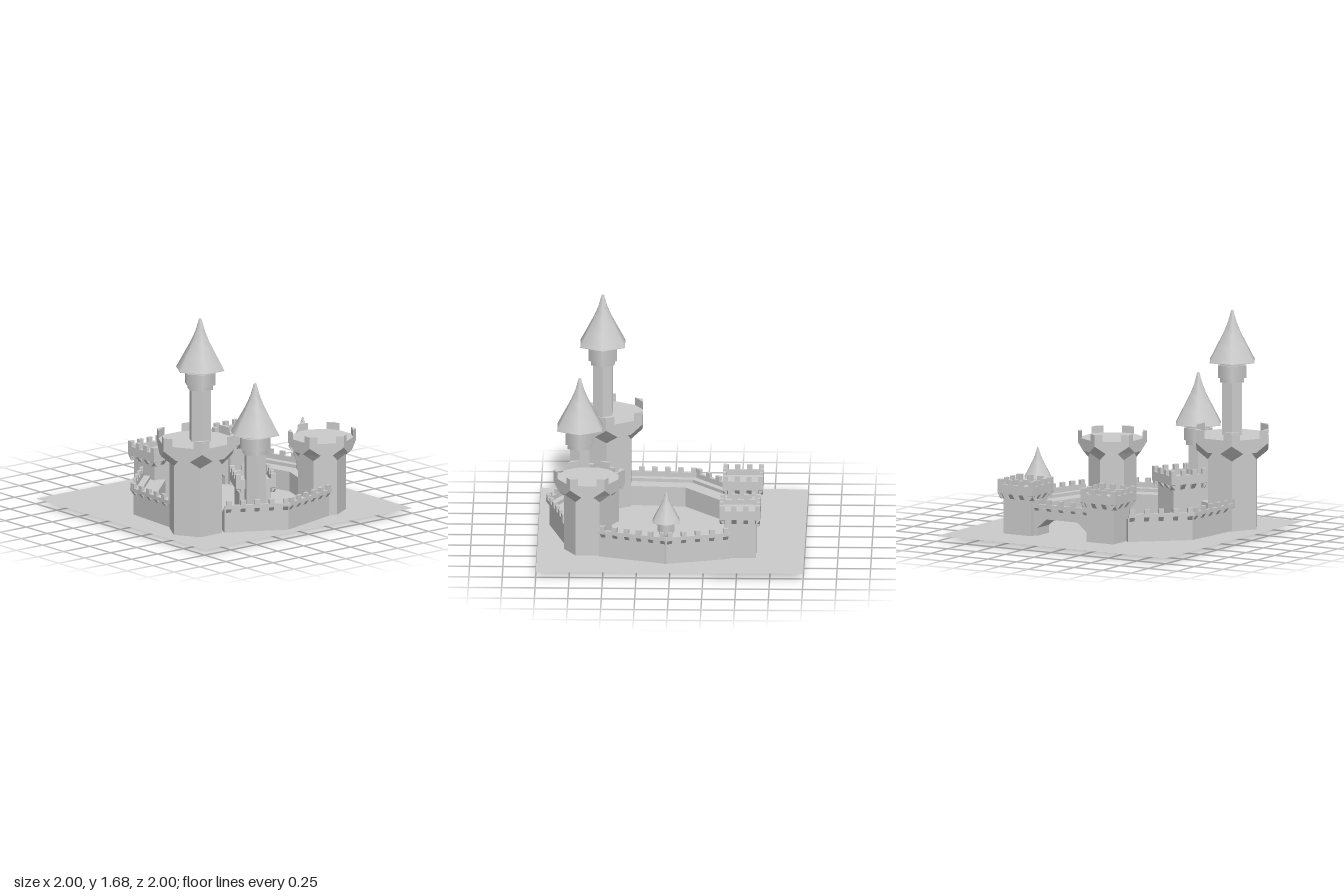
import * as THREE from 'three';
import { ConvexGeometry } from 'three/addons/geometries/ConvexGeometry.js';

const stone = new THREE.MeshStandardMaterial({ color: 0xcccccc, flatShading: true });
const smooth = new THREE.MeshStandardMaterial({ color: 0xcccccc });
const thin = new THREE.MeshStandardMaterial({ color: 0xcccccc, side: THREE.DoubleSide });
const ALONG_X = Math.PI / 6; // hexagon with corners on the x axis
const GROUND = 0.04;         // foundations reach a little below the ground sheet
const OVERHANG = 0.025;

function add(parent, name, geometry, x = 0, y = 0, z = 0, material = stone) {
  const mesh = new THREE.Mesh(geometry, material);
  mesh.name = name;
  mesh.position.set(x, y, z);
  parent.add(mesh);
  return mesh;
}

function group(parent, name, x = 0, y = 0, z = 0, turn = 0) {
  const g = new THREE.Group();
  g.name = name;
  g.position.set(x, y, z);
  g.rotation.y = turn;
  parent.add(g);
  return g;
}

function hexPrism(parent, name, r, y0, y1, start = ALONG_X, material = stone) {
  add(parent, name, new THREE.CylinderGeometry(r, r, y1 - y0, 6, 1, false, start), 0, (y0 + y1) / 2, 0, material);
}

// Wedge bracket: runs along x, leans out towards z = 0
function corbelGeometry(width, depth, height) {
  const s = new THREE.Shape([[0, 0], [-depth, 0], [-depth, -height]].map(p => new THREE.Vector2(...p)));
  const g = new THREE.ExtrudeGeometry(s, { depth: width, bevelEnabled: false });
  g.rotateY(-Math.PI / 2);           // shape x -> z, extrusion -> -x
  g.translate(width / 2, 0, 0);
  return g;
}

// Row of merlons and corbels from local x = 0 to length, outer face on z = 0
function battlement(parent, length, count, top, bottom, merlonHeight, depth, corbelHeight, inset = 0) {
  const merlon = new THREE.BoxGeometry(0.04, merlonHeight, 0.026);
  const corbel = corbelGeometry(0.036, depth, corbelHeight);
  const first = inset + 0.02, step = (length - 2 * first) / (count - 1);
  for (let i = 0; i < count; i++) {
    const x = first + i * step;
    add(parent, 'merlon', merlon, x, top + merlonHeight / 2, -0.013);
    add(parent, 'corbel', corbel, x, bottom, 0);
  }
}

// Prism swept along a mitred path; profile is [outward, y], counter-clockwise
function sweep(path, profile) {
  const pts = path.map(p => new THREE.Vector2(...p));
  const normals = pts.slice(1).map((p, i) => {
    const t = p.clone().sub(pts[i]).normalize();
    return new THREE.Vector2(-t.y, t.x);
  });
  const rings = pts.map((p, i) => {
    const a = normals[Math.max(i - 1, 0)], b = normals[Math.min(i, normals.length - 1)];
    const m = a.clone().add(b).divideScalar(1 + a.dot(b));
    return profile.map(([d, y]) => [p.x + m.x * d, y, p.y + m.y * d]);
  });
  const pos = [], n = profile.length;
  for (let i = 0; i + 1 < rings.length; i++) {
    for (let j = 0; j < n; j++) {
      const k = (j + 1) % n, a = rings[i], b = rings[i + 1];
      pos.push(...a[j], ...b[j], ...b[k], ...a[j], ...b[k], ...a[k]);
    }
  }
  const caps = THREE.ShapeUtils.triangulateShape(profile.map(p => new THREE.Vector2(...p)), []);
  const last = rings[rings.length - 1];
  for (const [a, b, c] of caps) {
    pos.push(...rings[0][a], ...rings[0][b], ...rings[0][c], ...last[a], ...last[c], ...last[b]);
  }
  const g = new THREE.BufferGeometry();
  g.setAttribute('position', new THREE.Float32BufferAttribute(pos, 3));
  g.computeVertexNormals();
  return g;
}

// Curtain wall with wall walk, overhanging parapet and battlements
function curtainWall(parent, name, path) {
  const g = group(parent, name);
  add(g, 'wallBody', sweep(path, [
    [-OVERHANG, 0.012], [-OVERHANG, 0.225], [0, 0.225], [0, 0.252], [-0.026, 0.252],
    [-0.026, 0.215], [-0.075, 0.215], [-0.075, 0.19], [-0.19, 0.19], [-0.19, 0.012],
  ]));
  for (let i = 0; i + 1 < path.length; i++) battlementRun(g, path[i], path[i + 1], 0);
}

function battlementRun(parent, a, b, lift) {
  const dx = b[0] - a[0], dz = b[1] - a[1], length = Math.hypot(dx, dz);
  const run = group(parent, 'battlement', a[0], lift, a[1], Math.atan2(-dz, dx));
  battlement(run, length, Math.round(length / 0.092), 0.252, 0.225, 0.035, OVERHANG, 0.032, 0.012);
}

// Hexagonal tower with an overhanging crown on corner brackets; s scales the crown heights
function hexTower(parent, name, x, z, r, crownR, top, s, start) {
  const g = group(parent, name, x, 0, z);
  const y = d => top - d * s;
  hexPrism(g, 'towerBody', r, 0, y(0.16), start);
  const corner = (k, radius, h) => new THREE.Vector3(
    radius * Math.sin(start + k * Math.PI / 3), h, radius * Math.cos(start + k * Math.PI / 3));
  const crown = [];
  for (let k = 0; k < 6; k++) {
    // Crown corner cut away below, carried by a bracket on the tower edge
    const low = corner(k, crownR, y(0.165));
    const cut = [1, -1].map(d => low.clone().lerp(corner(k + d, crownR, low.y), 0.32));
    crown.push(corner(k, crownR, y(0.06)), corner(k, crownR, y(0.1)), ...cut);
    const inner = [1, -1].map(d => corner(k, r, low.y).lerp(corner(k + d, r, low.y), 0.25));
    add(g, 'bracket', new ConvexGeometry([...cut, ...inner, corner(k, r, y(0.23))]));
    // Three-cornered merlon on each crown corner
    const tip = corner(k, crownR, y(0.075)), merlon = [];
    for (const p of [tip, tip.clone().lerp(corner(k + 1, crownR, tip.y), 0.23),
      tip.clone().lerp(corner(k - 1, crownR, tip.y), 0.23)]) {
      merlon.push(p, p.clone().setY(top));
    }
    add(g, 'cornerMerlon', new ConvexGeometry(merlon));
  }
  add(g, 'crown', new ConvexGeometry(crown));
}

// Square tower with corbelled parapet
function squareTower(parent, name, x, z, turn, foot, lift) {
  const g = group(parent, name, x, 0, z, turn);
  const w = 0.305, h = 0.335 + lift;
  add(g, 'towerBody', new THREE.BoxGeometry(0.24, h - foot, 0.24), 0, (h + foot) / 2, 0);
  add(g, 'platform', new THREE.BoxGeometry(w, 0.03, w), 0, h + 0.015, 0);
  for (let k = 0; k < 4; k++) {
    const side = group(g, 'parapetSide', 0, 0, 0, k * Math.PI / 2);
    add(side, 'parapet', new THREE.BoxGeometry(w, 0.068, 0.026), 0, h + 0.034, w / 2 - 0.013);
    battlement(group(side, 'battlement', -w / 2, 0, w / 2), w, 4, h + 0.068, h, 0.04, 0.0325, 0.04);
  }
}

// Slim hexagonal turret with collar and spire; eaves at height y
function turret(parent, name, x, z, y, foot, s) {
  const g = group(parent, name, x, y, z);
  hexPrism(g, 'shaft', 0.085 * s, foot - y, -0.14 * s);
  hexPrism(g, 'lowerCollar', 0.103 * s, -0.152 * s, -0.115 * s, ALONG_X, smooth);
  hexPrism(g, 'collar', 0.123 * s, -0.115 * s, -0.022 * s, ALONG_X, smooth);
  hexPrism(g, 'neck', 0.103 * s, -0.022 * s, 0, ALONG_X, smooth);
  hexPrism(g, 'eaves', 0.193 * s, 0, 0.004 * s);
  const profile = [[0.193, 0.004], [0.133, 0.11], [0.075, 0.212], [0.04, 0.288], [0.01, 0.385], [0, 0.392]];
  add(g, 'spire', new THREE.LatheGeometry(
    profile.map(([r, h]) => new THREE.Vector2(r * s, h * s)), 6, ALONG_X), 0, 0, 0, smooth);
}

// Gate wall between the two rear towers, with a chamfered passage
function gateWall(parent) {
  const g = group(parent, 'gateWall');
  const outline = [[-0.12, 0.025], [-0.07, 0.025], [-0.07, 0.1], [0.01, 0.17], [0.28, 0.17], [0.36, 0.1],
    [0.36, 0.025], [0.42, 0.025], [0.42, 0.225], [-0.12, 0.225]];
  const shape = new THREE.Shape(outline.map(p => new THREE.Vector2(...p)));
  add(g, 'gateBody', new THREE.ExtrudeGeometry(shape, { depth: 0.17, bevelEnabled: false }), 0, 0, -0.6);
  add(g, 'wallStep', new THREE.BoxGeometry(0.54, 0.03, 0.05), 0.15, 0.235, -0.58);
  add(g, 'parapet', new THREE.BoxGeometry(0.54, 0.03, 0.026), 0.15, 0.27, -0.612);
  battlementRun(g, [0.39, -0.625], [-0.095, -0.625], 0.033);
}

export function createModel() {
  const castle = new THREE.Group();
  castle.name = 'castle';

  const ground = add(castle, 'ground', new THREE.PlaneGeometry(2, 2), 0, GROUND, 0, thin);
  ground.rotation.x = -Math.PI / 2;

  hexTower(castle, 'greatTower', -0.68, 0.5, 0.21, 0.31, 0.8, 1, ALONG_X);
  hexTower(castle, 'frontTower', 0.44, 0.62, 0.18, 0.258, 0.66, 0.87, 0);

  squareTower(castle, 'rearLeftTower', 0.51, -0.52, 0, 0.025, 0.012);
  squareTower(castle, 'rearRightTower', -0.217, -0.53, 0, 0.025, 0.005);
  squareTower(castle, 'innerTower', -0.182, 0.563, -Math.PI / 6, 0, 0);

  turret(castle, 'greatTurret', -0.66, 0.53, 1.29, 0.7, 1);
  turret(castle, 'frontTurret', -0.265, 0.695, 0.76, 0, 1);
  turret(castle, 'wallTurret', 0.735, 0.03, 0.36, 0.02, 0.6);

  curtainWall(castle, 'rightWall', [[-0.385, -0.517], [-0.76, -0.18], [-0.8, 0.37]]);
  curtainWall(castle, 'frontWall', [[-0.57, 0.712], [-0.13, 0.945], [0.38, 0.81]]);
  curtainWall(castle, 'leftWall', [[0.64, 0.54], [0.81, 0.03], [0.68, -0.45]]);
  gateWall(castle);

  return castle;
}
